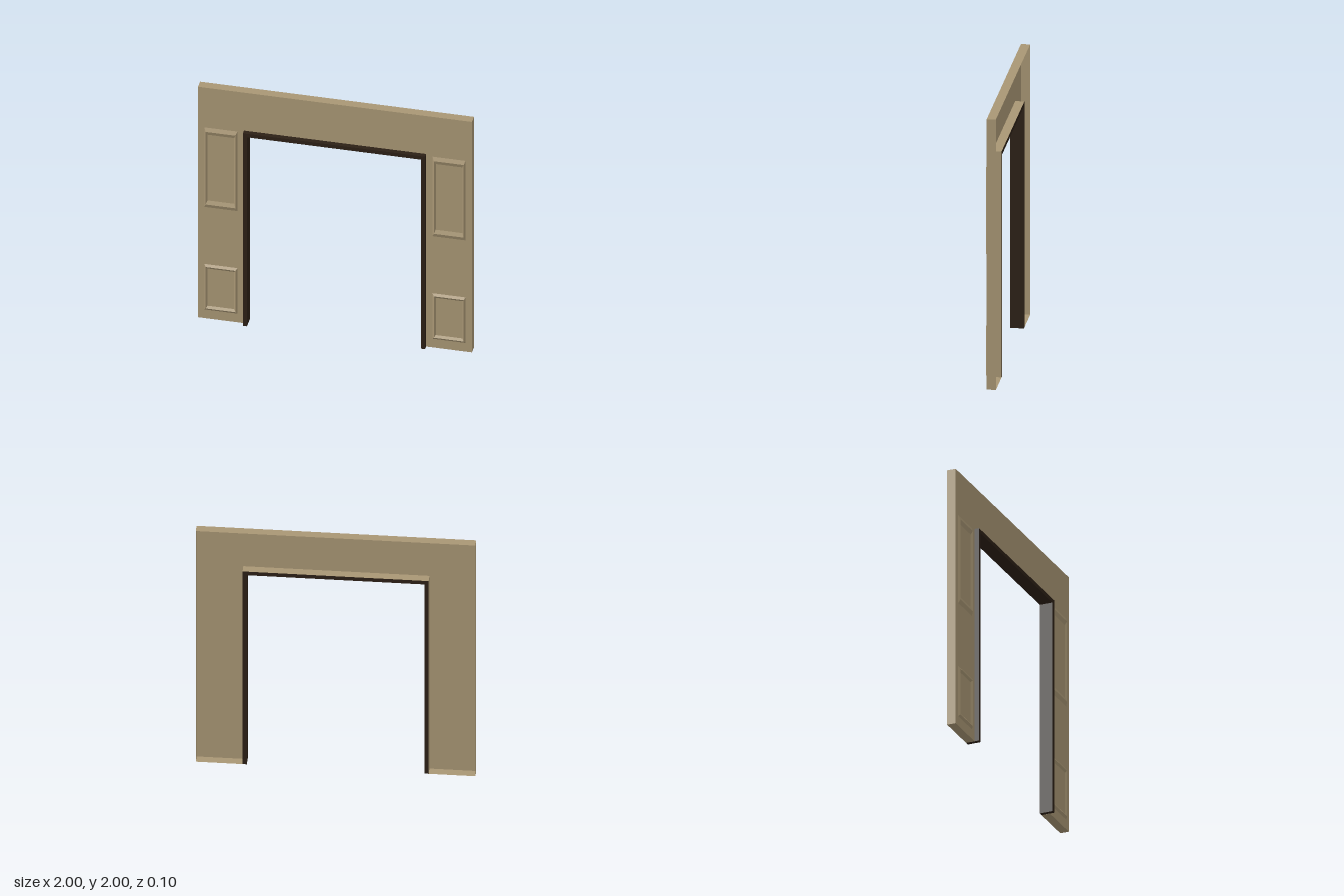
import * as THREE from 'three';

const BACK = -0.05, FACE = 0.016, FRONT = 0.05;

// Joins closed loops of [x, y, z] corners with flat-shaded quads
function loft(loops) {
  const pos = [];
  for (let k = 0; k + 1 < loops.length; k++) {
    const a = loops[k], b = loops[k + 1];
    for (let i = 0; i < a.length; i++) {
      const j = (i + 1) % a.length;
      pos.push(...a[i], ...a[j], ...b[j], ...a[i], ...b[j], ...b[i]);
    }
  }
  const g = new THREE.BufferGeometry();
  g.setAttribute('position', new THREE.Float32BufferAttribute(pos, 3));
  g.computeVertexNormals();
  return g;
}

// Counter-clockwise outline of a doorway arch: outer and inner half width and height
function arch(w, h, iw, ih) {
  return [[-w, 0], [-iw, 0], [-iw, ih], [iw, ih], [iw, 0], [w, 0], [w, h], [-w, h]];
}

const toShape = (pts) => new THREE.Shape(pts.map((p) => new THREE.Vector2(...p)));

export function createModel() {
  const model = new THREE.Group();
  const wallMat = new THREE.MeshStandardMaterial({ color: 0xa89674, side: THREE.DoubleSide });
  const trimMat = new THREE.MeshStandardMaterial({ color: 0x2c2016 });

  const add = (name, geometry, material, parent = model) => {
    const mesh = new THREE.Mesh(geometry, material);
    mesh.name = name;
    parent.add(mesh);
    return mesh;
  };

  // Wall: a front sheet with a rim turned backwards, open at the back
  const wall = new THREE.Group();
  wall.name = 'wall';
  model.add(wall);
  const outline = arch(1, 2, 0.666, 1.671);
  add('wallFace', new THREE.ShapeGeometry(toShape(outline)), wallMat, wall).position.z = FACE;
  add('wallRim', loft([BACK, FACE].map((z) => outline.map(([x, y]) => [x, y, z]))), wallMat, wall);

  // Dark door casing lining the opening
  const casing = new THREE.ExtrudeGeometry(toShape(arch(0.665, 1.67, 0.635, 1.64)),
    { depth: FRONT - BACK, bevelEnabled: false });
  add('doorCasing', casing, trimMat).position.z = BACK;

  // Raised panel mouldings: outer edge, ridge, inner edge
  const moulding = (cx, y0, y1, dx, dy) => {
    const loops = [[0, FACE], [1, 0.028], [2, FACE + 0.0005]].map(([k, z]) => {
      const w = 0.121 - k * dx, lo = y0 + k * dy, hi = y1 - k * dy;
      return [[cx - w, lo, z], [cx + w, lo, z], [cx + w, hi, z], [cx - w, hi, z]];
    });
    return loft(loops);
  };
  for (const [side, s] of [['left', 1], ['right', -1]]) {
    add(side + 'UpperMoulding', moulding(s * 0.833, 0.965, 1.655, 0.012, 0.03), wallMat);
    add(side + 'LowerMoulding', moulding(s * 0.833, 0.075, 0.47, 0.012, 0.018), wallMat);
  }
  return model;
}
